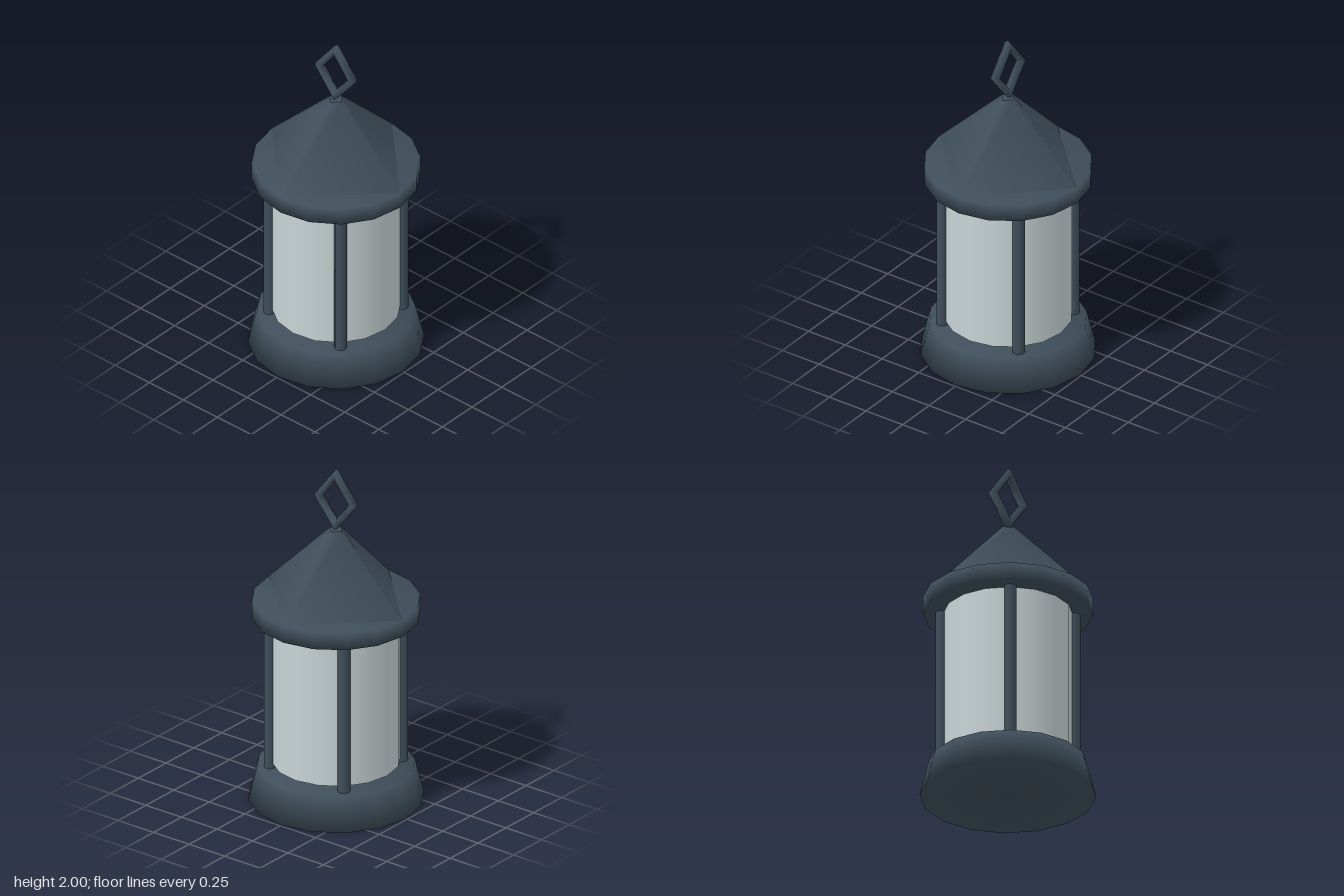
import * as THREE from 'three';
import { mergeVertices } from 'three/addons/utils/BufferGeometryUtils.js';

// Weld corners so shading flows softly over the rims
function soften(geometry) {
  geometry.deleteAttribute('uv');
  geometry.deleteAttribute('normal');
  const welded = mergeVertices(geometry, 1e-4);
  welded.computeVertexNormals();
  return welded;
}

export function createModel() {
  const group = new THREE.Group();
  const metal = new THREE.MeshStandardMaterial({ color: 0x3f4e5a });
  metal.name = 'dark slate metal';
  const glass = new THREE.MeshStandardMaterial({ color: 0xc8d3d5, side: THREE.DoubleSide });
  glass.name = 'frosted glass';

  const add = (name, geometry, material, x, y, z) => {
    const mesh = new THREE.Mesh(geometry, material);
    mesh.name = name;
    mesh.position.set(x, y, z);
    group.add(mesh);
    return mesh;
  };

  // Tapered foot
  add('base', soften(new THREE.CylinderGeometry(0.44, 0.49, 0.2, 16)), metal, 0, 0.1, 0);

  // Glass tube, floating just above the base
  add('glass', new THREE.CylinderGeometry(0.36, 0.36, 0.89, 16, 1, true), glass, 0, 0.67, 0);

  // Four corner posts
  for (const x of [-0.26, 0.26]) {
    for (const z of [-0.26, 0.26]) {
      add('post', new THREE.CylinderGeometry(0.035, 0.035, 0.93, 10), metal, x, 0.655, z);
    }
  }

  // Round eave with a four-sided roof, corners on the axes
  add('eave', soften(new THREE.CylinderGeometry(0.47, 0.47, 0.1, 16)), metal, 0, 1.16, 0);
  add('roof', new THREE.CylinderGeometry(0.045, 0.47, 0.42, 4), metal, 0, 1.42, 0);

  // Diamond-shaped hanging ring in the side plane
  const ring = add('hangingRing', new THREE.TorusGeometry(0.122, 0.027, 6, 4), metal, 0, 1.812, 0);
  ring.rotation.y = Math.PI / 2;
  ring.scale.y = 1.26;

  return group;
}
